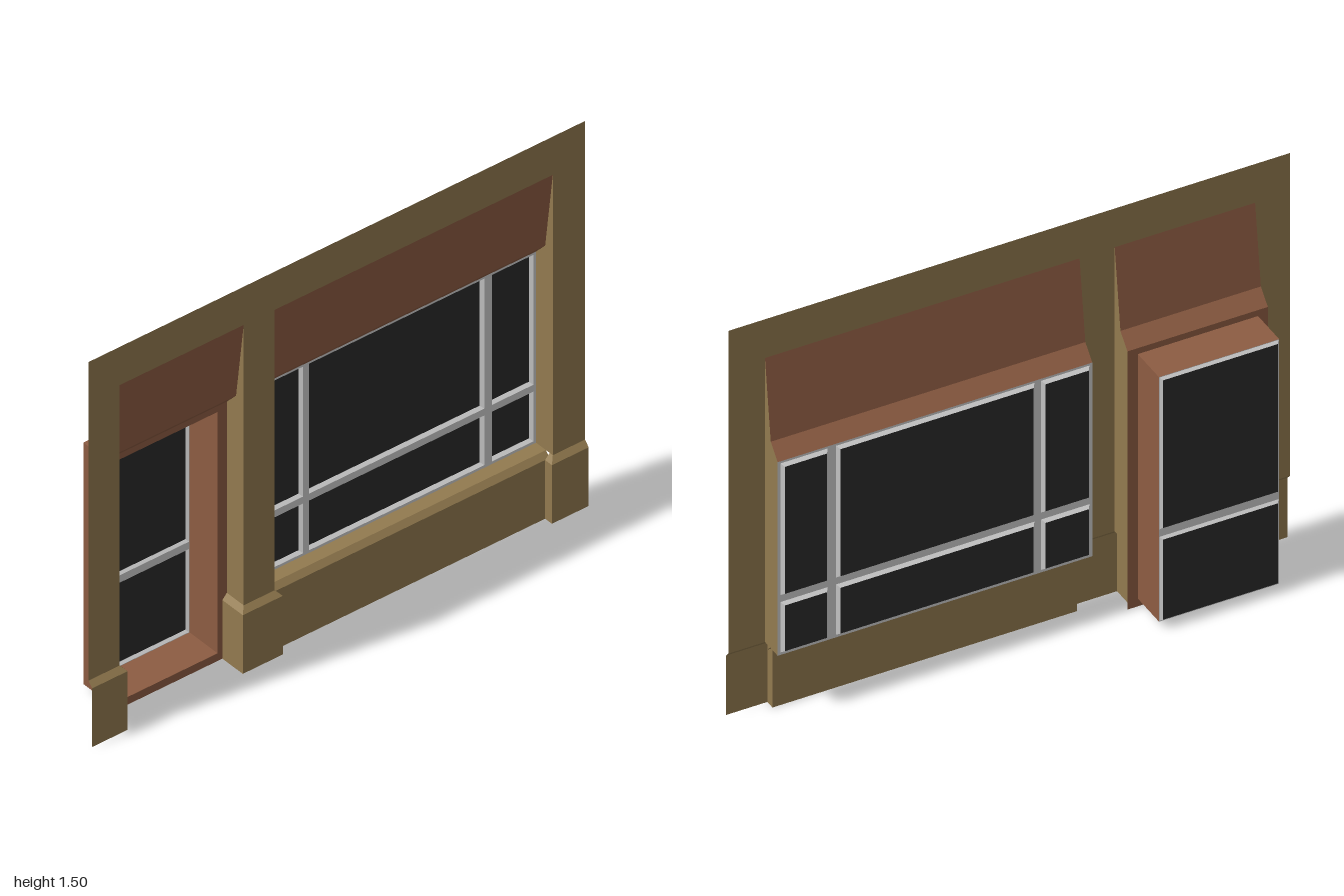
import * as THREE from 'three';

const mat = (color) => new THREE.MeshStandardMaterial({ color, side: THREE.DoubleSide, flatShading: true });
const stone = mat(0x927a4f), brown = mat(0x8d5c42), grey = mat(0xcccccc), dark = mat(0x2a2a2a);

// Key depths and heights
const WALL = 0.108, FRAME = 0.024, SILL = 0.25, TOP = 1.5, HEAD = 1.35;
const KNEE = [1.05, 0.07], LINTEL = 1.0;
const DOOR = [-0.875, -0.375], WINDOW = [-0.25, 0.87];

function add(group, name, geometry, material) {
  const mesh = new THREE.Mesh(geometry, material);
  mesh.name = name;
  group.add(mesh);
  return mesh;
}

// Flat-faced skin between rows of [x, y, z] points
function skin(rows, closed = false) {
  const pos = [];
  for (let r = 0; r < rows.length - 1; r++) {
    const a = rows[r], b = rows[r + 1], n = a.length;
    for (let i = 0; i < (closed ? n : n - 1); i++) {
      const j = (i + 1) % n;
      pos.push(...a[i], ...a[j], ...b[j], ...a[i], ...b[j], ...b[i]);
    }
  }
  const g = new THREE.BufferGeometry();
  g.setAttribute('position', new THREE.Float32BufferAttribute(pos, 3));
  g.computeVertexNormals();
  return g;
}

// Strip following a [y, z] profile from x0 to x1
const strip = (x0, x1, profile) => skin(profile.map(([y, z]) => [[x0, y, z], [x1, y, z]]));

const polygon = (pts) => new THREE.Shape(pts.map(([x, y]) => new THREE.Vector2(x, y)));
const rect = (x0, y0, x1, y1) => [[x0, y0], [x1, y0], [x1, y1], [x0, y1]];

// Flat rectangle with rectangular holes, facing +z
function sheet(outer, holes, z) {
  const shape = polygon(rect(...outer));
  for (const h of holes) shape.holes.push(polygon(rect(...h).reverse()));
  return new THREE.ShapeGeometry(shape).translate(0, 0, z);
}

// Grey frame whose panes sit behind it on bevelled edges
function glazing(name, outer, cols, rows, z, depth, bevel) {
  const g = new THREE.Group();
  g.name = name;
  const panes = cols.flatMap(([x0, x1]) => rows.map(([y0, y1]) => [x0, y0, x1, y1]));
  add(g, name + 'Frame', sheet(outer, panes, z), grey);
  for (const [x0, y0, x1, y1] of panes) {
    const inner = [x0 + bevel, y0 + bevel, x1 - bevel, y1 - bevel];
    const ring = (r, d) => rect(...r).map(([x, y]) => [x, y, d]);
    add(g, name + 'Bevel', skin([ring([x0, y0, x1, y1], z), ring(inner, z - depth)], true), grey);
    add(g, name + 'Pane', sheet(inner, [], z - depth), dark);
  }
  return g;
}

// Flared pier base; a side without a depth is left open
function pierBase(x0, x1, back0, back1) {
  const row = (y, f) => {
    const a = back0 === null ? x0 : x0 - f, b = back1 === null ? x1 : x1 + f;
    const pts = [[a, y, WALL + f], [b, y, WALL + f]];
    if (back0 !== null) pts.unshift([a, y, back0]);
    if (back1 !== null) pts.push([b, y, back1]);
    return pts;
  };
  return skin([row(0, 0.018), row(0.23, 0.018), row(SILL, 0)]);
}

export function createModel() {
  const model = new THREE.Group();

  // Wall sheet with both openings cut out of its lower edge
  const [d0, d1] = DOOR, [w0, w1] = WINDOW;
  const outline = polygon([
    [-1, SILL], [d0, SILL], [d0, HEAD], [d1, HEAD], [d1, SILL],
    [w0, SILL], [w0, HEAD], [w1, HEAD], [w1, SILL], [1, SILL], [1, TOP], [-1, TOP],
  ]);
  add(model, 'wall', new THREE.ShapeGeometry(outline).translate(0, 0, WALL), stone);

  // Jambs and sloping head panel of each opening
  for (const [label, [x0, x1]] of [['door', DOOR], ['window', WINDOW]]) {
    const cheek = polygon([[WALL, SILL], [FRAME, SILL], [FRAME, LINTEL], [KNEE[1], KNEE[0]], [WALL, HEAD]]);
    for (const x of [x0, x1]) {
      add(model, label + 'Jamb', new THREE.ShapeGeometry(cheek).rotateY(-Math.PI / 2).translate(x, 0, 0), stone);
    }
    add(model, label + 'HeadPanel', strip(x0, x1, [[LINTEL, FRAME], KNEE, [HEAD, WALL]]), brown);
  }

  // Pier bases and the panel and sill under the window
  const PANEL = 0.092;
  add(model, 'rightPierBase', pierBase(-1, d0, null, FRAME), stone);
  add(model, 'middlePierBase', pierBase(d1, w0, FRAME, PANEL), stone);
  add(model, 'leftPierBase', pierBase(w1, 1, PANEL, null), stone);
  add(model, 'windowPanel', strip(w0 + 0.018, w1 - 0.018, [[0, PANEL], [0.23, PANEL]]), stone);
  add(model, 'windowSill', strip(w0, w1, [[0.23, PANEL], [SILL, 0.074], [SILL, FRAME]]), stone);

  // Window
  model.add(glazing('window', [w0, SILL, w1, LINTEL],
    [[-0.24, -0.068], [-0.044, 0.662], [0.692, 0.86]],
    [[0.26, 0.455], [0.482, 0.992]], FRAME, 0.012, 0.009));

  // Door surround, deep reveal and glazed door
  const hole = [-0.84, 0.03, -0.412, 0.977], DEEP = -0.116;
  add(model, 'doorSurround', sheet([d0, 0, d1, LINTEL], [hole], FRAME), brown);
  const loop = (z) => rect(...hole).map(([x, y]) => [x, y, z]);
  add(model, 'doorReveal', skin([loop(FRAME), loop(DEEP)], true), brown);
  model.add(glazing('door', hole, [[-0.838, -0.414]],
    [[0.032, 0.358], [0.387, 0.975]], DEEP, 0.009, 0.008));

  return model;
}
